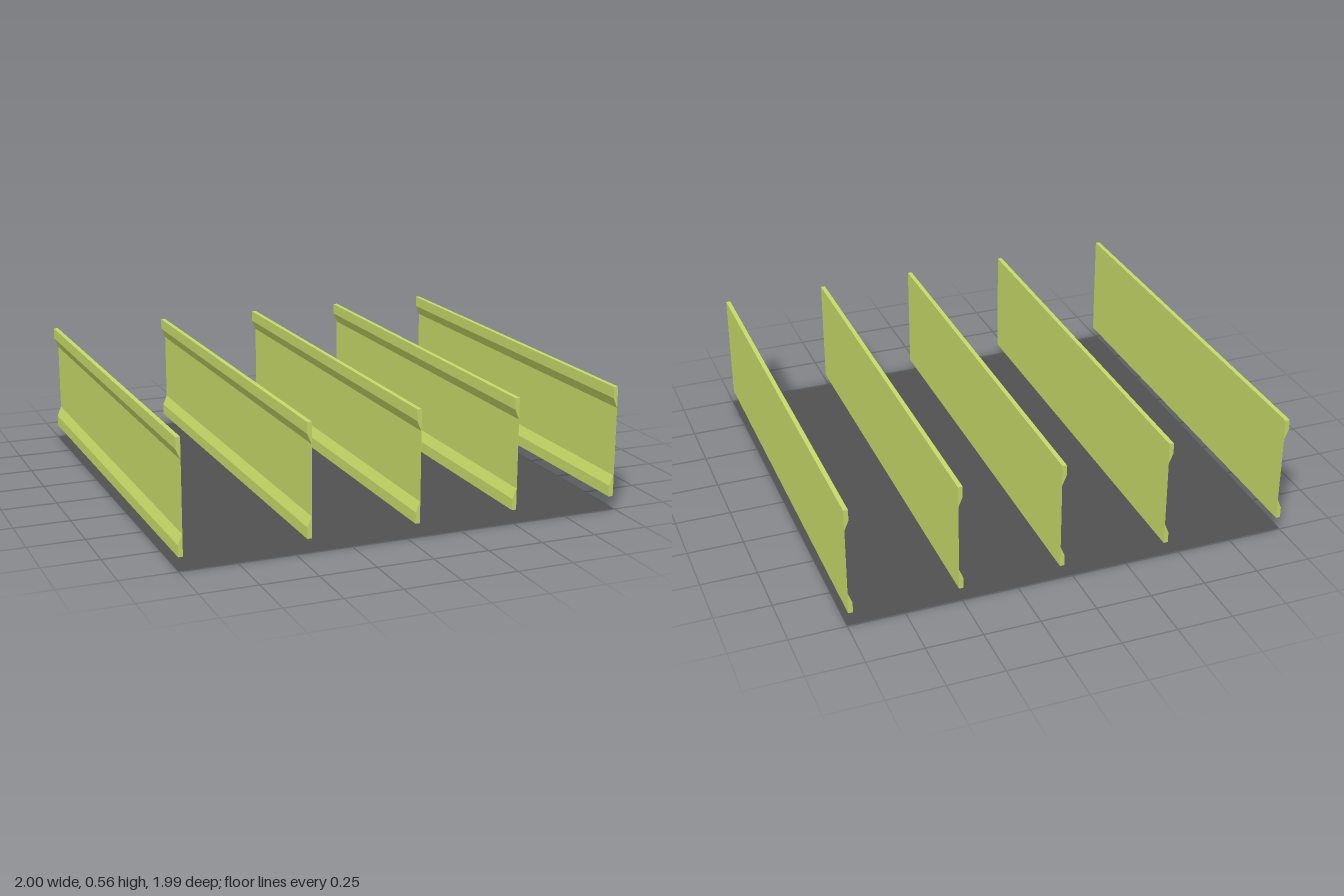
import * as THREE from 'three';

const DEPTH = 1.99;
const BOTTOM = 0.06, TOP = 0.557;

// Cross-section with a flat +x face, a thin web and a thickened lip at each end
function bladeGeometry() {
  const w = 0.02, web = 0.001;
  const shape = new THREE.Shape([
    [0, BOTTOM], [0, TOP], [-w, TOP], [-w, TOP - 0.05], [-web, TOP - 0.095],
    [-web, BOTTOM + 0.095], [-w, BOTTOM + 0.05], [-w, BOTTOM],
  ].map(([x, y]) => new THREE.Vector2(x, y)));
  const geometry = new THREE.ExtrudeGeometry(shape, { depth: DEPTH, bevelEnabled: false });
  return geometry.translate(0, 0, -DEPTH / 2);
}

export function createModel() {
  const group = new THREE.Group();
  group.name = 'partitionedFloor';
  const green = new THREE.MeshStandardMaterial({ color: 0xc9dc69, flatShading: true });
  const dark = new THREE.MeshStandardMaterial({ color: 0x525252, side: THREE.DoubleSide });

  // Flat base sheet
  const base = new THREE.Mesh(new THREE.PlaneGeometry(2, DEPTH), dark);
  base.rotation.x = -Math.PI / 2;
  base.name = 'baseSheet';
  group.add(base);

  // Upright rails, unevenly spaced, floating just above the sheet
  const geometry = bladeGeometry();
  [-0.98, -0.429, 0.058, 0.513, 0.992].forEach((x, i) => {
    const rail = new THREE.Mesh(geometry, green);
    rail.position.x = x;
    rail.name = `rail${i + 1}`;
    group.add(rail);
  });

  return group;
}
